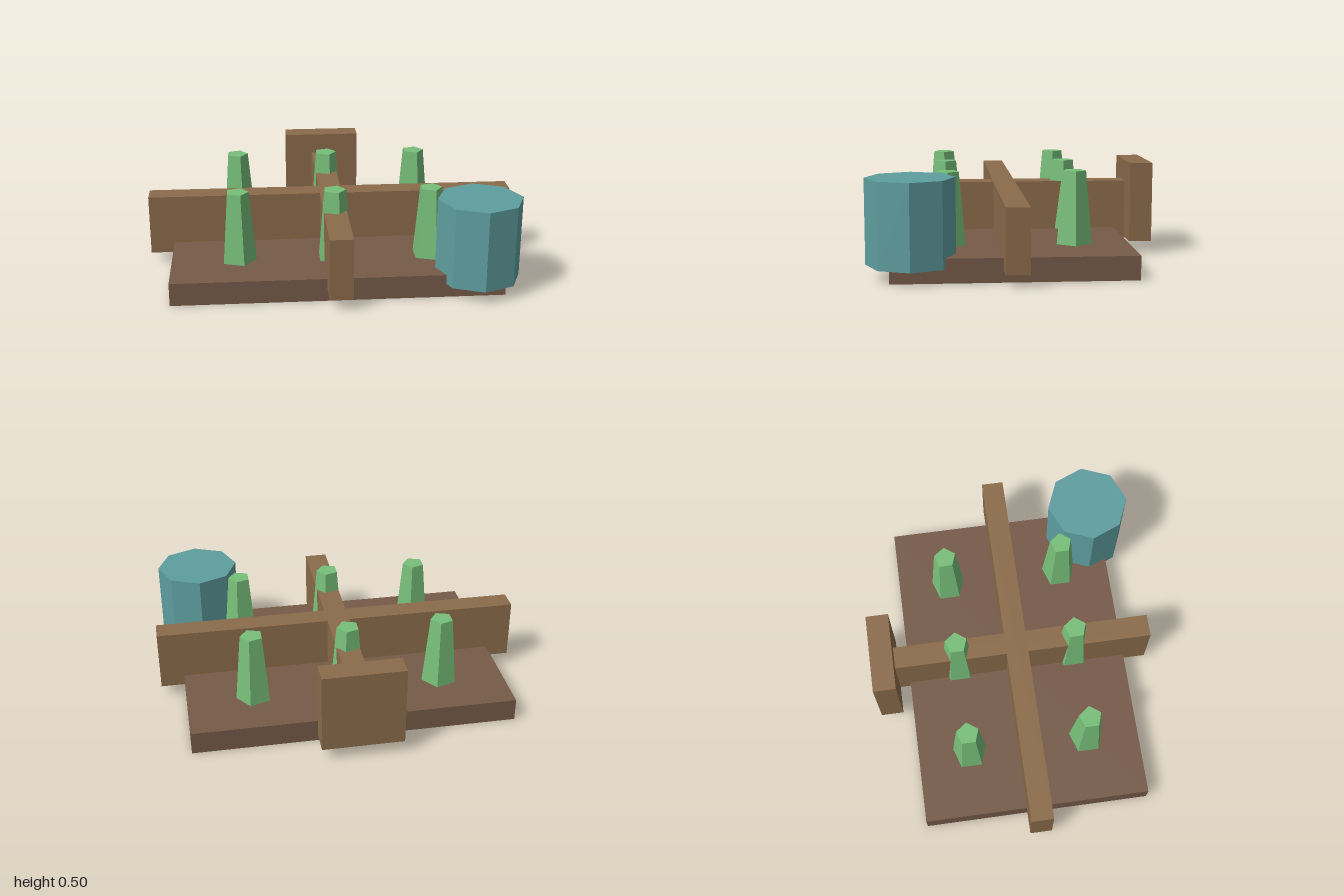
import * as THREE from 'three';

const material = (color) => {
  const m = new THREE.MeshStandardMaterial({ color });
  m.flatShading = true;
  return m;
};

export function createModel() {
  const model = new THREE.Group();
  model.name = 'plantingBed';
  const soil = material(0x755a48);
  const wood = material(0x8b6b4a);
  const leaf = material(0x78bf7a);
  const teal = material(0x5f9ea0);

  const add = (name, geometry, mat, x, y, z) => {
    const mesh = new THREE.Mesh(geometry, mat);
    mesh.name = name;
    mesh.position.set(x, y, z);
    model.add(mesh);
  };

  // Box given by its lower and upper corners
  const block = (name, mat, [x0, y0, z0], [x1, y1, z1]) =>
    add(name, new THREE.BoxGeometry(x1 - x0, y1 - y0, z1 - z0), mat,
      (x0 + x1) / 2, (y0 + y1) / 2, (z0 + z1) / 2);

  // Soil slab and the crossed boards dividing it
  block('soilBed', soil, [-0.87, 0, -0.588], [0.87, 0.123, 0.643]);
  block('longBoard', wood, [-1, 0.065, -0.032], [1, 0.39, 0.088]);
  block('crossBoard', wood, [-0.061, 0.065, -0.713], [0.061, 0.39, 0.772]);
  block('endBoard', wood, [-0.217, 0.073, -0.773], [0.217, 0.505, -0.65]);

  // Tapered five-sided plants, three per row
  const plant = new THREE.CylinderGeometry(0.062, 0.097, 0.382, 5, 1, false, Math.PI / 2);
  for (const z of [-0.302, 0.353])
    for (const x of [-0.515, -0.003, 0.509]) add('plant', plant, leaf, x, 0.314, z);

  // Eight-sided barrel at the front left corner
  add('barrel', new THREE.CylinderGeometry(0.224, 0.224, 0.432, 8), teal, 0.737, 0.289, 0.54);

  return model;
}
